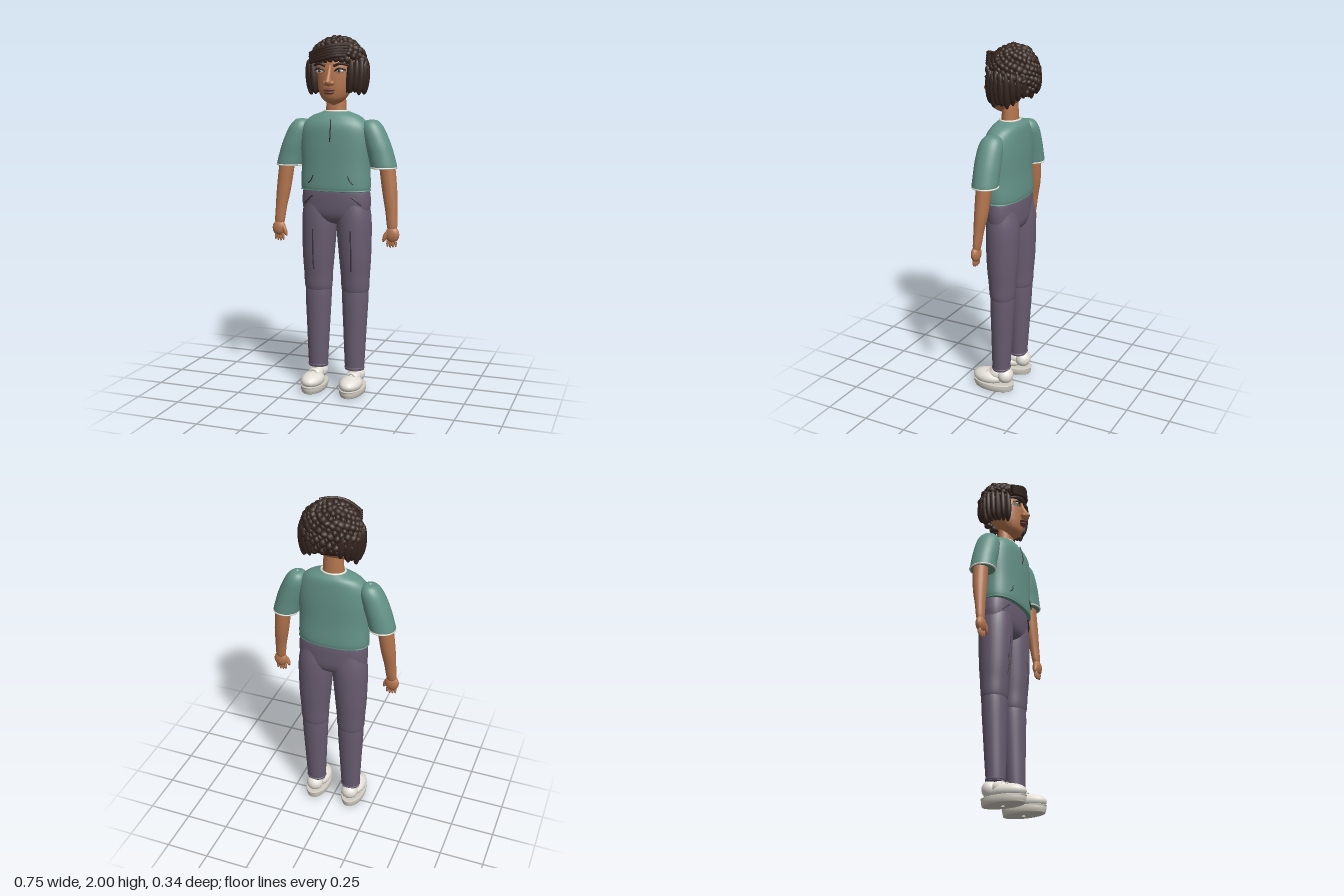
import * as THREE from 'three';
import { mergeGeometries } from 'three/addons/utils/BufferGeometryUtils.js';

const mat = (color) => new THREE.MeshStandardMaterial({ color });
const V = (x, y, z) => new THREE.Vector3(x, y, z);
const M = {
  skin: mat(0xb5764f), shirt: mat(0x649287), pants: mat(0x685c70), hair: mat(0x35251f),
  shoe: mat(0xe4e0d8), white: mat(0xe8e4da), lip: mat(0x73403a), dark: mat(0x2b2622),
  iris: mat(0x4d6658), fold: mat(0x3b3540), sole: mat(0xcfcabf),
};
M.hair.side = THREE.DoubleSide;

// Smooth body through sections listed top to bottom: [y, cx, cz, rx, rz]
function loft(sections, { n = 32, steps = 5, power = 2 } = {}) {
  const mid = new THREE.CatmullRomCurve3(sections.map(([y, cx, cz]) => V(cx, y, cz)), false, 'catmullrom');
  const rad = new THREE.CatmullRomCurve3(sections.map((s) => V(s[3], 0, s[4])), false, 'catmullrom');
  const rows = (sections.length - 1) * steps, pos = [], idx = [];
  const bend = (c) => Math.sign(c) * Math.abs(c) ** (2 / power);
  for (let i = 0; i <= rows; i++) {
    const c = mid.getPoint(i / rows), r = rad.getPoint(i / rows);
    for (let j = 0; j < n; j++) {
      const a = (j / n) * Math.PI * 2;
      pos.push(c.x + bend(Math.cos(a)) * Math.max(r.x, 0.001), c.y, c.z + bend(Math.sin(a)) * Math.max(r.z, 0.001));
    }
  }
  for (let i = 0; i < rows; i++) for (let j = 0; j < n; j++) {
    const a = i * n + j, b = i * n + (j + 1) % n;
    idx.push(a, b, a + n, b, b + n, a + n);
  }
  const g = new THREE.BufferGeometry();
  g.setAttribute('position', new THREE.Float32BufferAttribute(pos, 3));
  g.setIndex(idx);
  g.computeVertexNormals();
  return g;
}

// Ellipsoid with optional tilt
function ball(p, r, rot = [0, 0, 0], w = 20, h = 14) {
  const g = new THREE.SphereGeometry(1, w, h).scale(...r);
  return g.rotateX(rot[0]).rotateY(rot[1]).rotateZ(rot[2]).translate(...p);
}
const tube = (pts, r, seg = 16) =>
  new THREE.TubeGeometry(new THREE.CatmullRomCurve3(pts.map((p) => V(...p))), seg, r, 8);

export function createModel() {
  const root = new THREE.Group();
  const add = (name, g, m, parent = root) => {
    const mesh = new THREE.Mesh(g, m);
    mesh.name = name;
    parent.add(mesh);
  };
  const group = (name) => {
    const g = new THREE.Group();
    g.name = name;
    root.add(g);
    return g;
  };

  // Shirt body with collar and folds
  add('shirtBody', loft([
    [1.595, 0, -0.01, 0.055, 0.045], [1.585, 0, -0.01, 0.085, 0.058], [1.56, 0, -0.008, 0.145, 0.078],
    [1.51, 0, 0, 0.187, 0.093], [1.42, 0, 0, 0.2, 0.098], [1.3, 0, 0, 0.196, 0.099],
    [1.2, 0, -0.002, 0.2, 0.103], [1.165, 0, -0.002, 0.197, 0.101], [1.155, 0, -0.002, 0.185, 0.092], [1.155, 0, 0, 0.01, 0.01],
  ], { n: 40, power: 2.3 }), M.shirt);
  add('collar', new THREE.TorusGeometry(0.066, 0.006, 8, 32).rotateX(Math.PI / 2).scale(1, 1, 0.8).translate(0, 1.592, -0.01), M.white);
  add('chestFold', tube([[0, 1.55, 0.084], [0.003, 1.49, 0.098], [0, 1.43, 0.1]], 0.003), M.dark);

  // Trouser seat
  add('trouserSeat', loft([
    [1.18, 0, -0.01, 0.18, 0.08], [1.15, 0, -0.011, 0.193, 0.09], [1.08, 0, -0.012, 0.198, 0.091],
    [1.02, 0, -0.014, 0.18, 0.085], [0.98, 0, -0.016, 0.1, 0.06], [0.96, 0, -0.016, 0.005, 0.005],
  ], { power: 2.3 }), M.pants);

  for (const s of [1, -1]) {
    const side = s > 0 ? 'left' : 'right';

    // Arm: sleeve, trim, forearm and hand
    const arm = group(side + 'Arm');
    add('sleeve', loft([
      [1.548, 0.205 * s, -0.01, 0.005, 0.005], [1.54, 0.205 * s, -0.01, 0.036, 0.04], [1.5, 0.213 * s, -0.008, 0.062, 0.064],
      [1.42, 0.24 * s, -0.006, 0.072, 0.071], [1.35, 0.262 * s, -0.006, 0.073, 0.071],
      [1.295, 0.276 * s, -0.006, 0.073, 0.071], [1.285, 0.277 * s, -0.006, 0.066, 0.064], [1.29, 0.278 * s, -0.006, 0.02, 0.02],
    ]), M.shirt, arm);
    add('sleeveTrim', new THREE.TorusGeometry(0.07, 0.005, 8, 32).rotateX(Math.PI / 2).translate(0.277 * s, 1.289, -0.006), M.white, arm);
    add('forearm', loft([
      [1.33, 0.29 * s, -0.008, 0.042, 0.04], [1.27, 0.298 * s, -0.008, 0.044, 0.041], [1.15, 0.313 * s, -0.002, 0.041, 0.037],
      [1.05, 0.325 * s, 0.008, 0.033, 0.027], [0.96, 0.333 * s, 0.016, 0.027, 0.02], [0.94, 0.334 * s, 0.017, 0.005, 0.005],
    ], { n: 24 }), M.skin, arm);
    add('palm', ball([0.335 * s, 0.925, 0.02], [0.04, 0.045, 0.024]), M.skin, arm);
    add('thumb', ball([0.297 * s, 0.915, 0.028], [0.012, 0.034, 0.012], [0, 0, -0.35 * s]), M.skin, arm);
    for (let i = 0; i < 4; i++)
      add('finger', ball([(0.311 + i * 0.014) * s, 0.88 + Math.abs(i - 1.3) * 0.004, 0.022], [0.008, 0.03, 0.011], [0, 0, (i - 1.5) * 0.08 * s], 12, 10), M.skin, arm);

    // Trouser leg: thigh, lower leg, hem and creases
    const leg = group(side + 'Leg');
    add('thigh', loft([
      [1.12, 0.1 * s, -0.014, 0.08, 0.075], [1.0, 0.101 * s, -0.017, 0.1, 0.092], [0.8, 0.108 * s, -0.018, 0.092, 0.087],
      [0.68, 0.11 * s, -0.019, 0.083, 0.077], [0.59, 0.11 * s, -0.02, 0.077, 0.069], [0.56, 0.11 * s, -0.02, 0.05, 0.045],
    ]), M.pants, leg);
    add('lowerLeg', loft([
      [0.63, 0.11 * s, -0.02, 0.06, 0.055], [0.58, 0.11 * s, -0.02, 0.076, 0.068], [0.35, 0.11 * s, -0.015, 0.066, 0.06],
      [0.15, 0.11 * s, -0.01, 0.056, 0.051], [0.132, 0.11 * s, -0.01, 0.05, 0.045], [0.13, 0.11 * s, -0.01, 0.005, 0.005],
    ]), M.pants, leg);
    add('hem', new THREE.TorusGeometry(0.054, 0.005, 8, 28).rotateX(Math.PI / 2).scale(1, 1, 0.92).translate(0.11 * s, 0.14, -0.01), M.pants, leg);
    add('crease', tube([[0.11 * s, 0.94, 0.073], [0.112 * s, 0.82, 0.07], [0.11 * s, 0.71, 0.061]], 0.004), M.fold, leg);
    add('pocket', tube([[0.11 * s, 1.13, 0.072], [0.14 * s, 1.105, 0.064], [0.165 * s, 1.08, 0.05]], 0.004), M.fold, leg);
    add('shirtFold', tube([[0.1 * s, 1.245, 0.091], [0.113 * s, 1.215, 0.091], [0.13 * s, 1.2, 0.087]], 0.003), M.dark);

    // Shoe: sole, toe, tongue, heel and laces
    const shoe = group(side + 'Shoe');
    add('sole', loft([
      [0.046, 0.115 * s, 0.038, 0.01, 0.01], [0.046, 0.115 * s, 0.038, 0.062, 0.118], [0.036, 0.115 * s, 0.038, 0.07, 0.125],
      [0.014, 0.115 * s, 0.038, 0.068, 0.122], [0.001, 0.115 * s, 0.036, 0.056, 0.108], [0, 0.115 * s, 0.036, 0.01, 0.01],
    ]), M.sole, shoe);
    add('toe', ball([0.115 * s, 0.066, 0.07], [0.064, 0.044, 0.096]), M.shoe, shoe);
    add('tongue', ball([0.113 * s, 0.092, 0.02], [0.043, 0.038, 0.055], [0.3, 0, 0]), M.shoe, shoe);
    add('heel', ball([0.113 * s, 0.093, -0.038], [0.05, 0.047, 0.046]), M.shoe, shoe);
    for (const z of [0.035, 0.06])
      add('lace', tube([[0.08 * s, 0.1, z + 0.008], [0.114 * s, 0.145 - z * 0.45, z], [0.148 * s, 0.1, z + 0.008]], 0.005), M.sole, shoe);

    // Eye and brow
    const eye = group(side + 'Eye');
    add('eyeball', ball([0.057 * s, 1.81, 0.087], [0.027, 0.013, 0.018], [0, 0.3 * s, 0]), M.white, eye);
    add('iris', ball([0.055 * s, 1.81, 0.1], [0.011, 0.011, 0.007]), M.iris, eye);
    add('pupil', ball([0.055 * s, 1.81, 0.105], [0.005, 0.005, 0.004]), M.dark, eye);
    for (const d of [1, -1])
      add('eyelid', tube([[0.028 * s, 1.808, 0.097], [0.056 * s, 1.81 + d * 0.012, 0.107], [0.088 * s, 1.813, 0.085]], d > 0 ? 0.005 : 0.0035), d > 0 ? M.dark : M.skin, eye);
    add('brow', tube([[0.023 * s, 1.835, 0.1], [0.06 * s, 1.848, 0.098], [0.097 * s, 1.84, 0.07]], 0.007), M.hair, eye);
    add('nostril', ball([0.018 * s, 1.745, 0.116], [0.014, 0.013, 0.017]), M.skin, eye);
  }

  // Neck, head, nose and lips
  add('neck', new THREE.CylinderGeometry(0.052, 0.06, 0.16, 28).scale(1, 1, 0.75).translate(0, 1.64, -0.01), M.skin);
  add('head', loft([
    [1.96, 0, -0.01, 0.005, 0.005], [1.93, 0, -0.01, 0.06, 0.06], [1.88, 0, -0.005, 0.098, 0.092], [1.82, 0, 0, 0.108, 0.1],
    [1.75, 0, 0.003, 0.104, 0.097], [1.69, 0, 0.02, 0.084, 0.075], [1.65, 0, 0.03, 0.055, 0.05], [1.625, 0, 0.03, 0.006, 0.006],
  ]), M.skin);
  add('nose', loft([
    [1.84, 0, 0.094, 0.006, 0.006], [1.81, 0, 0.1, 0.011, 0.014], [1.77, 0, 0.112, 0.014, 0.024],
    [1.75, 0, 0.122, 0.017, 0.028], [1.732, 0, 0.115, 0.012, 0.018], [1.728, 0, 0.112, 0.002, 0.002],
  ], { n: 18 }), M.skin);
  add('upperLip', ball([0, 1.708, 0.111], [0.034, 0.008, 0.019]), M.lip);
  add('lowerLip', ball([0, 1.694, 0.108], [0.028, 0.01, 0.019]), M.lip);

  // Hair shell: crown and back of the head
  const hair = group('hair');
  const shell = (...arc) => new THREE.SphereGeometry(1, 32, 16, ...arc).scale(0.157, 0.15, 0.12).translate(0, 1.83, -0.032);
  add('crownShell', shell(0, Math.PI * 2, 0, 1.25), M.hair, hair);
  add('backShell', shell(Math.PI * 0.97, Math.PI * 1.06, 1.2, 1.05), M.hair, hair);

  // Curls spread evenly over the shell
  const curls = [], total = 330;
  for (let i = 0; i < total; i++) {
    const y = 1 - (2 * i + 1) / total, r = Math.sqrt(1 - y * y), a = i * 2.39996;
    const x = Math.cos(a) * r, z = Math.sin(a) * r;
    if (y < (z > 0.25 ? 0.32 : -0.5)) continue;
    const k = 0.021 + 0.004 * Math.sin(i * 7.3);
    curls.push(ball([x * 0.155, 1.83 + y * 0.15, -0.032 + z * 0.119], [k, k, k * 0.8], [Math.sin(i), a, i], 10, 8));
  }
  add('curls', mergeGeometries(curls), M.hair, hair);

  // Hanging locks round the sides, shorter toward the back
  const locks = [];
  for (const s of [1, -1]) for (let i = 0; i < 9; i++) {
    const a = 0.85 - i * 0.23, len = 0.092 - Math.max(0, i - 5) * 0.008 + 0.005 * Math.sin(i * 4);
    locks.push(ball([s * 0.156 * Math.cos(a), 1.872 - len, -0.03 + 0.117 * Math.sin(a)], [0.025, len, 0.02], [0, s * -a, -0.08 * s], 12, 12));
    if (i < 7) locks.push(ball([s * 0.132 * Math.cos(a), 1.775, -0.03 + 0.1 * Math.sin(a)], [0.02, 0.085, 0.02], [0, 0, -0.12 * s], 12, 12));
  }
  add('locks', mergeGeometries(locks), M.hair, hair);

  // Fringe swept across the forehead
  const fringe = [];
  for (let i = 0; i < 5; i++) {
    const d = i * 0.014;
    fringe.push(tube([[0.1 - d * 0.3, 1.945 - d, 0.055 + d * 0.3], [0.04, 1.945 - d, 0.1 + d * 0.1], [-0.03, 1.93 - d, 0.117], [-0.115, 1.9 - d * 0.8, 0.09]], 0.011));
  }
  for (let i = 0; i < 7; i++)
    fringe.push(ball([-0.09 + i * 0.03, 1.872 + 0.004 * Math.sin(i * 5), 0.094 - Math.abs(i - 3) * 0.006], [0.017, 0.022, 0.015], [0, 0, 0.4], 10, 8));
  add('fringe', mergeGeometries(fringe), M.hair, hair);

  return root;
}
